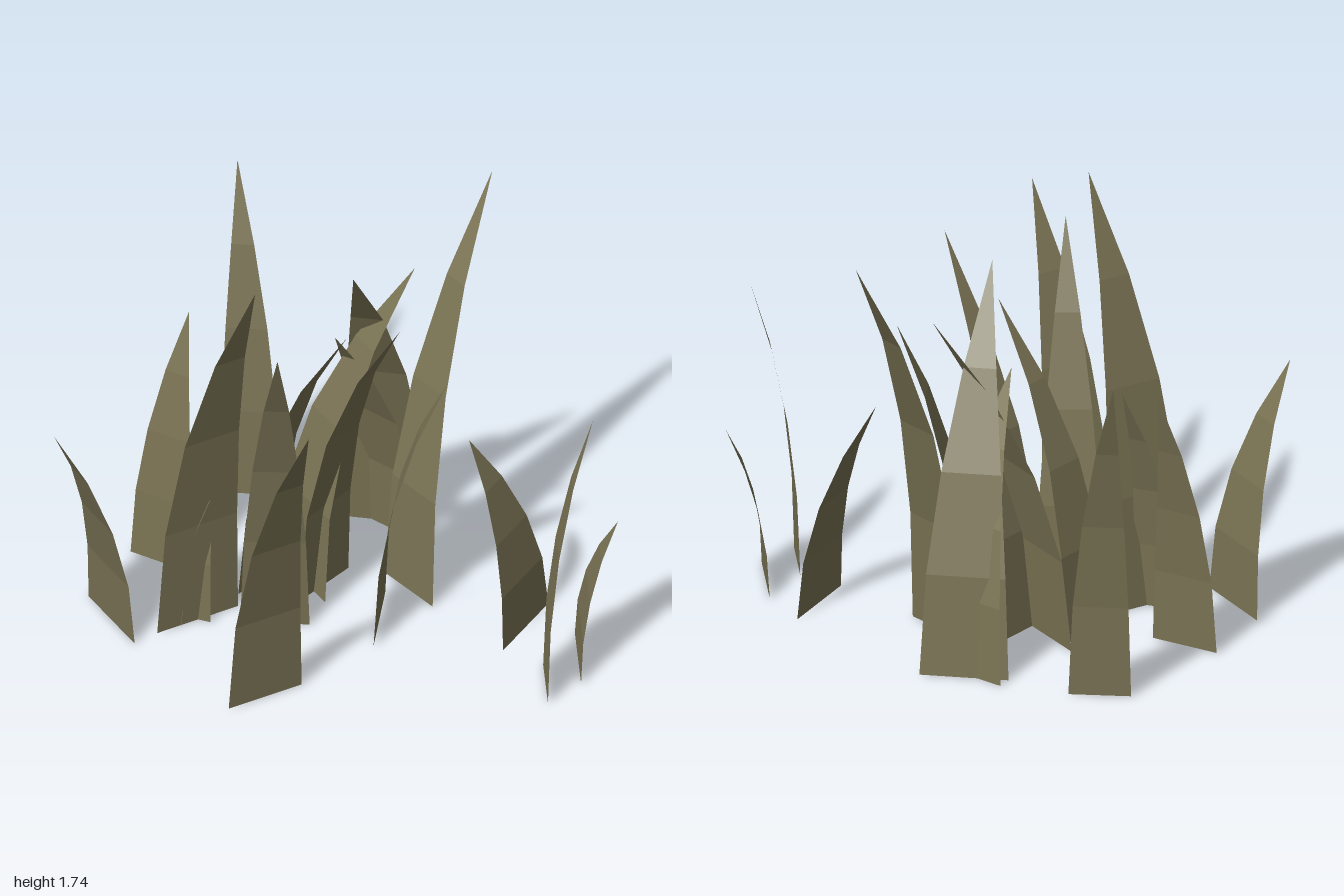
import * as THREE from 'three';

// Each blade: base edge start (x, z), base edge end (x, z), tip (x, y, z)
const BLADES = [
  [[-0.90, -0.33], [-0.70, -0.47], [-1.00, 1.42, -0.56]],
  [[-0.90, 0.19], [-0.62, 0.14], [-0.765, 1.11, 0.00]],
  [[-0.83, 0.52], [-0.49, 0.64], [-0.74, 0.98, 0.83]],
  [[-0.535, 0.405], [-0.36, 0.34], [-0.45, 0.98, 0.16]],
  [[-0.53, 0.41], [-0.43, 0.43], [-0.36, 0.59, 0.34]],
  [[-0.47, 0.53], [-0.35, 0.19], [-0.08, 1.74, 0.40]],
  [[-0.27, 0.27], [-0.06, 0.10], [0.06, 1.50, 0.43]],
  [[0.065, 0.725], [0.175, 0.42], [0.445, 1.455, 0.69]],
  [[-0.065, -0.35], [0.225, -0.30], [0.065, 1.72, -0.84]],
  [[0.55, -0.61], [0.62, -0.26], [0.385, 0.86, -0.33]],
  [[0.755, -0.53], [0.99, -0.295], [0.985, 0.65, -0.52]],
  [[0.80, -0.29], [0.98, -0.11], [0.99, 1.22, -0.365]],
  [[0.025, -0.25], [0.22, 0.045], [0.365, 1.18, -0.23]],
  [[-0.19, 0.01], [-0.19, -0.28], [0.31, 1.52, -0.005]],
  [[-0.40, 0.13], [-0.40, -0.13], [0.01, 1.33, -0.04]],
  [[-0.46, -0.16], [-0.11, -0.05], [-0.03, 1.40, -0.49]],
  [[-0.44, -0.52], [-0.14, -0.70], [-0.035, 1.54, -0.13]],
  [[-0.45, -0.58], [-0.085, -0.59], [-0.19, 1.15, -0.20]],
];
const ROWS = 4;

// A tapering strip that bends from its base edge towards its tip
function bladeGeometry([a, b, tip]) {
  const midX = (a[0] + b[0]) / 2, midZ = (a[1] + b[1]) / 2;
  const halfX = (b[0] - a[0]) / 2, halfZ = (b[1] - a[1]) / 2;
  const point = (row, side) => {
    const t = row / ROWS;
    const lean = t * t, width = side * (1 - Math.pow(t, 1.6));
    return [
      midX + (tip[0] - midX) * lean + halfX * width,
      tip[1] * (1.1 * t - 0.1 * t * t),
      midZ + (tip[2] - midZ) * lean + halfZ * width,
    ];
  };
  const positions = [];
  for (let r = 0; r < ROWS; r++) {
    const l0 = point(r, -1), r0 = point(r, 1), l1 = point(r + 1, -1), r1 = point(r + 1, 1);
    positions.push(...l0, ...r0, ...r1);
    if (r < ROWS - 1) positions.push(...l0, ...r1, ...l1);
  }
  const geometry = new THREE.BufferGeometry();
  geometry.setAttribute('position', new THREE.Float32BufferAttribute(positions, 3));
  geometry.computeVertexNormals(); // unshared corners give flat facets
  return geometry;
}

export function createModel() {
  const model = new THREE.Group();
  model.name = 'grassTuft';
  const dryGrass = new THREE.MeshStandardMaterial({ color: 0x7a7354, side: THREE.DoubleSide });
  dryGrass.name = 'dryGrass';
  BLADES.forEach((blade, i) => {
    const mesh = new THREE.Mesh(bladeGeometry(blade), dryGrass);
    mesh.name = `grassBlade${i + 1}`;
    model.add(mesh);
  });
  return model;
}
